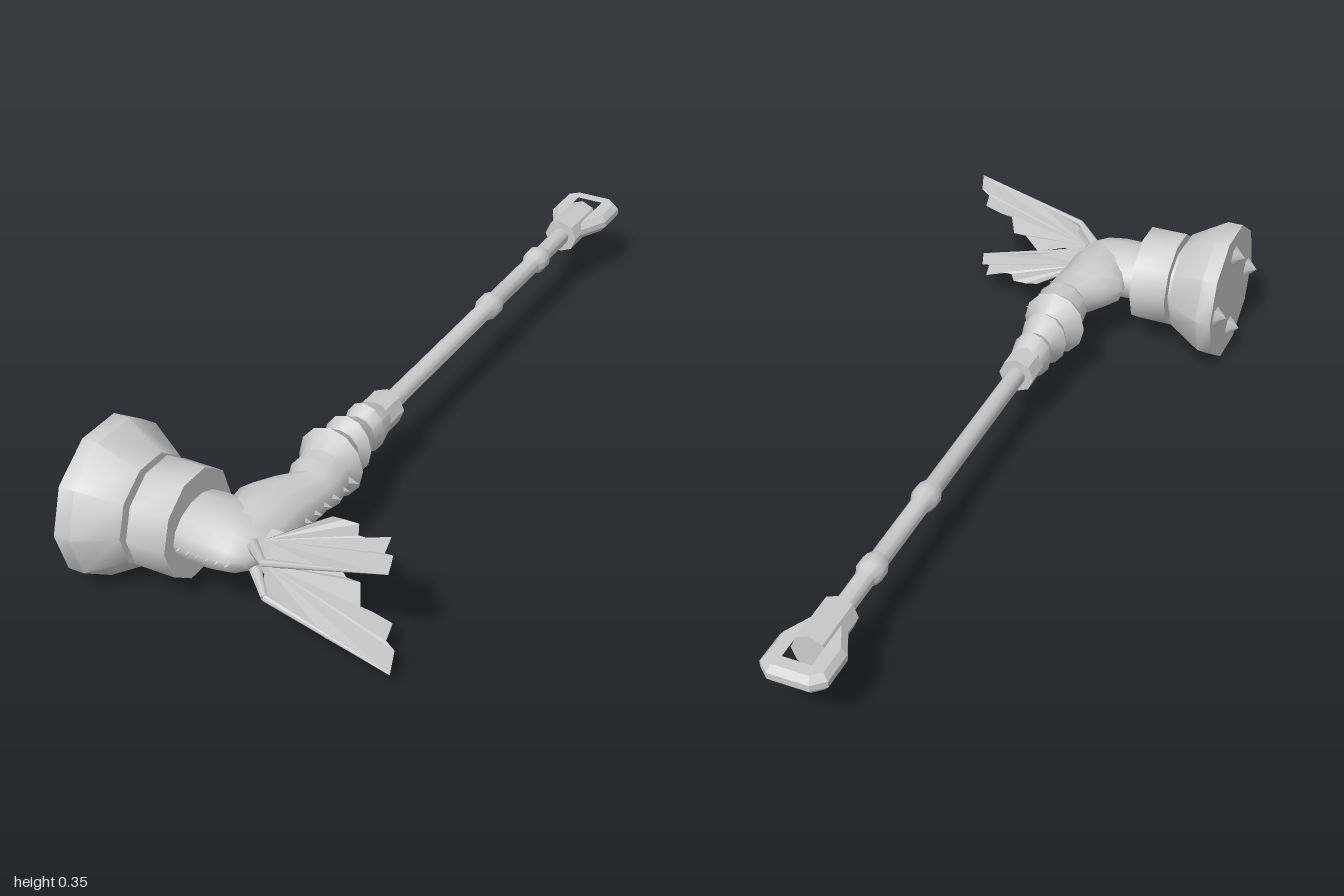
import * as THREE from 'three';
import { toCreasedNormals } from 'three/addons/utils/BufferGeometryUtils.js';

const CY = 0.177; // height of the handle axis
const HZ = 0.815; // z of the striking head axis
const material = new THREE.MeshStandardMaterial({ color: 0xcccccc });
const thinMaterial = new THREE.MeshStandardMaterial({ color: 0xcccccc, side: THREE.DoubleSide });

function add(parent, name, geometry, mat = material) {
  const mesh = new THREE.Mesh(geometry, mat);
  mesh.name = name;
  parent.add(mesh);
  return mesh;
}

// Turned part from [radius, position along axis] pairs
function turned(profile, sides) {
  const geometry = new THREE.LatheGeometry(profile.map(([r, a]) => new THREE.Vector2(r, a)), sides);
  return toCreasedNormals(geometry, 0.7);
}

// Skin over elliptical sections [z, centre x, half width, half height]
function loft(sections, sides) {
  const positions = [], index = [];
  for (const [z, cx, w, h] of sections) {
    for (let i = 0; i < sides; i++) {
      const a = (i / sides) * Math.PI * 2;
      positions.push(cx + w * Math.cos(a), h * Math.sin(a), z);
    }
  }
  for (let s = 0; s < sections.length - 1; s++) {
    for (let i = 0; i < sides; i++) {
      const a = s * sides + i, b = s * sides + (i + 1) % sides;
      index.push(a, b, b + sides, a, b + sides, a + sides);
    }
  }
  const last = (sections.length - 1) * sides;
  for (let i = 1; i < sides - 1; i++) {
    index.push(0, i + 1, i, last, last + i, last + i + 1);
  }
  const geometry = new THREE.BufferGeometry();
  geometry.setAttribute('position', new THREE.Float32BufferAttribute(positions, 3));
  geometry.setIndex(index);
  return toCreasedNormals(geometry, 0.75);
}

// Pleated membrane: a fan from the root, scalloped on the trailing edge
function wingGeometry(side) {
  const outline = [[0.04, 0.86], [0.09, 0.865], [0.10, 0.925], [0.25, 0.925], [0.40, 0.925], [0.375, 0.86],
    [0.35, 0.85], [0.335, 0.795], [0.29, 0.80], [0.26, 0.80], [0.23, 0.745], [0.195, 0.745],
    [0.15, 0.72], [0.125, 0.77], [0.075, 0.79], [0.04, 0.80]];
  const place = ([x, z], pleat) => [x, CY + side * (0.031 + (x - 0.05) * 0.277 + pleat * (0.42 - x) * 0.022), z];
  const root = place([0.05, 0.835], 0);
  const positions = [];
  for (let i = 0; i < outline.length - 1; i++) {
    const p = place(outline[i], i % 2 ? 1 : -1);
    const q = place(outline[i + 1], i % 2 ? -1 : 1);
    positions.push(...root, ...(side > 0 ? [...p, ...q] : [...q, ...p]));
  }
  const geometry = new THREE.BufferGeometry();
  geometry.setAttribute('position', new THREE.Float32BufferAttribute(positions, 3));
  geometry.computeVertexNormals();
  return geometry;
}

export function createModel() {
  const model = new THREE.Group();
  model.name = 'warHammer';

  // Shaft with two swellings, and the ferrule under the neck
  const shaft = add(model, 'shaft', turned([[0, -0.8], [0.024, -0.8], [0.024, -0.64], [0.033, -0.62], [0.033, -0.59],
    [0.024, -0.57], [0.024, -0.36], [0.033, -0.335], [0.033, -0.31], [0.024, -0.285], [0.024, 0.25], [0, 0.25]], 10));
  const ferrule = add(model, 'ferrule', turned([[0, 0.215], [0.046, 0.215], [0.046, 0.28], [0, 0.28]], 8));
  const socket = add(model, 'pommelSocket',
    turned([[0, -0.9], [0.045, -0.9], [0.045, -0.76], [0, -0.76]], 8));
  for (const part of [shaft, ferrule, socket]) {
    part.rotation.x = Math.PI / 2;
    part.position.y = CY;
  }

  // Pommel loop, drawn in x and z
  const loop = new THREE.Shape([[-0.035, -0.82], [0.035, -0.82], [0.067, -0.885], [0.067, -0.965], [0.045, -0.985],
    [-0.045, -0.985], [-0.067, -0.965], [-0.067, -0.885]].map(([x, z]) => new THREE.Vector2(x, z)));
  loop.holes.push(new THREE.Path([[-0.035, -0.89], [0.035, -0.89], [0.035, -0.955], [-0.035, -0.955]]
    .map(([x, z]) => new THREE.Vector2(x, z))));
  const loopGeometry = new THREE.ExtrudeGeometry(loop, {
    depth: 0.016, bevelEnabled: true, bevelThickness: 0.016, bevelSize: 0.013, bevelSegments: 1,
  });
  loopGeometry.translate(0, 0, -0.008);
  const pommel = add(model, 'pommelLoop', loopGeometry);
  pommel.rotation.x = Math.PI / 2;
  pommel.position.y = CY;

  // Segmented neck of the beast, flaring at each plate
  const neck = add(model, 'neck', loft([
    [0.26, 0, 0.042, 0.036], [0.32, 0, 0.052, 0.066], [0.35, 0, 0.042, 0.046], [0.40, 0, 0.062, 0.077],
    [0.43, 0, 0.048, 0.055], [0.48, 0.003, 0.083, 0.091], [0.525, 0.012, 0.066, 0.06], [0.57, 0.016, 0.07, 0.066],
    [0.60, 0.024, 0.054, 0.054], [0.65, 0.0, 0.077, 0.06], [0.70, -0.018, 0.09, 0.066],
    [0.77, -0.015, 0.085, 0.068], [0.85, -0.02, 0.07, 0.055]], 12));
  neck.position.y = CY;

  // Beast head, running sideways into the striking head
  const skull = add(model, 'beastHead', loft([
    [-0.16, -HZ, 0.09, 0.066], [-0.10, -HZ, 0.098, 0.07], [-0.05, -HZ, 0.1, 0.069], [0, -HZ, 0.096, 0.06],
    [0.035, -HZ, 0.075, 0.045], [0.06, -HZ, 0.04, 0.025], [0.07, -HZ, 0.015, 0.01]], 14));
  skull.rotation.y = Math.PI / 2;
  skull.position.y = CY;

  // Spines along the outer neck
  const spines = new THREE.Group();
  spines.name = 'neckSpines';
  model.add(spines);
  for (let i = 0; i < 8; i++) {
    const spine = add(spines, 'neckSpine', new THREE.ConeGeometry(0.018, 0.045, 4));
    spine.rotation.z = -Math.PI / 2;
    spine.position.set(0.08 - i * 0.0025, CY, 0.525 + i * 0.035);
  }
  // Short spikes along the brow
  for (let i = 0; i < 6; i++) {
    const spike = add(spines, 'browSpike', new THREE.ConeGeometry(0.012, 0.03, 4));
    spike.rotation.x = Math.PI / 2;
    spike.position.set(-0.115 + i * 0.024, CY, 0.908);
  }

  // Mirrored wings
  for (const side of [1, -1]) {
    const name = side > 0 ? 'upperWing' : 'lowerWing';
    add(model, name, wingGeometry(side), thinMaterial);
    // Bone along the leading edge
    const start = new THREE.Vector3(0.03, CY + side * 0.025, 0.85);
    const elbow = new THREE.Vector3(0.10, CY + side * 0.045, 0.918);
    const tip = new THREE.Vector3(0.40, CY + side * 0.128, 0.925);
    for (const [a, b, r0, r1] of [[start, elbow, 0.016, 0.009], [elbow, tip, 0.009, 0.001]]) {
      const dir = b.clone().sub(a);
      const bone = add(model, name + 'Bone', new THREE.CylinderGeometry(r1, r0, dir.length(), 6));
      bone.position.copy(a).add(b).multiplyScalar(0.5);
      bone.quaternion.setFromUnitVectors(new THREE.Vector3(0, 1, 0), dir.normalize());
    }
  }

  // Ten-sided striking head with collar and groove
  const hammer = new THREE.Group();
  hammer.name = 'strikingHead';
  hammer.rotation.z = Math.PI / 2;
  hammer.position.set(0, CY, HZ);
  model.add(hammer);
  add(hammer, 'strikingBlock', turned([[0, 0.13], [0.128, 0.13], [0.128, 0.228], [0.1, 0.228], [0.1, 0.243],
    [0.13, 0.243], [0.184, 0.335], [0.184, 0.375], [0, 0.375]], 10));

  // Studs on the striking face
  for (let i = 0; i < 4; i++) {
    const a = (i * Math.PI) / 2;
    const stud = add(hammer, 'faceStud', new THREE.ConeGeometry(0.029, 0.03, 6));
    stud.position.set(0.11 * Math.cos(a), 0.389, 0.135 * Math.sin(a));
  }
  return model;
}
